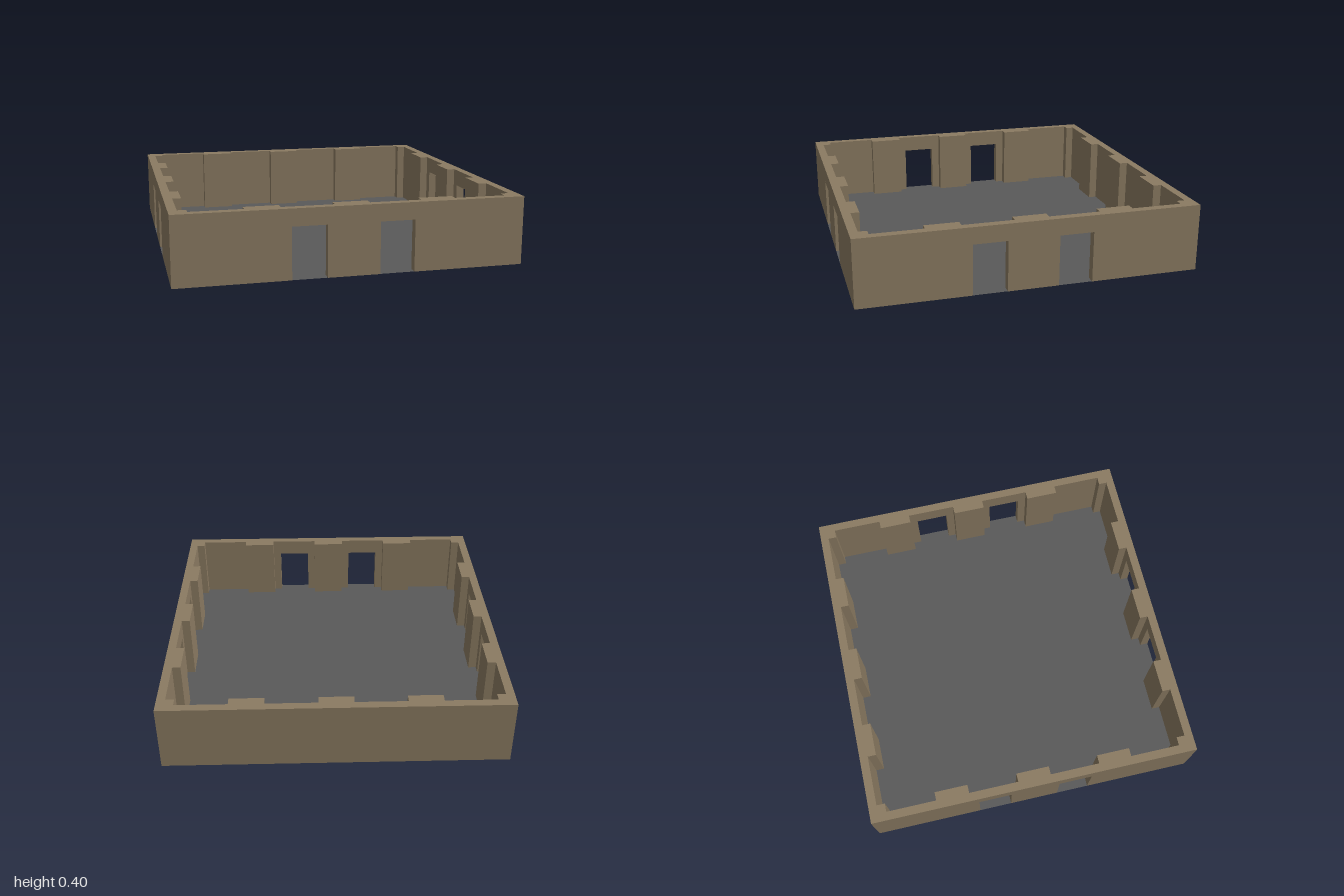
import * as THREE from 'three';

const HEIGHT = 0.4, THICK = 0.05, DOOR_TOP = 0.3;
const DOORS = [[-0.35, -0.15], [0.15, 0.35]];

const stone = new THREE.MeshStandardMaterial({ color: 0x8b7b62 });
stone.name = 'tan stone';
const paving = new THREE.MeshStandardMaterial({ color: 0x595959, side: THREE.DoubleSide });
paving.name = 'grey floor';

function box(name, w, h, d, x, y, z) {
  const mesh = new THREE.Mesh(new THREE.BoxGeometry(w, h, d), stone);
  mesh.name = name;
  mesh.position.set(x, y, z);
  return mesh;
}

// One side of the room, built facing +z: wall panel, doorways and piers
function createWall(name, halfLength, hasDoors) {
  const wall = new THREE.Group();
  wall.name = name;

  const outline = new THREE.Shape();
  outline.moveTo(-halfLength, 0);
  if (hasDoors) {
    for (const [a, b] of DOORS) {
      outline.lineTo(a, 0);
      outline.lineTo(a, DOOR_TOP);
      outline.lineTo(b, DOOR_TOP);
      outline.lineTo(b, 0);
    }
  }
  outline.lineTo(halfLength, 0);
  outline.lineTo(halfLength, HEIGHT);
  outline.lineTo(-halfLength, HEIGHT);
  outline.closePath();

  const panel = new THREE.Mesh(
    new THREE.ExtrudeGeometry(outline, { depth: THICK, bevelEnabled: false }), stone);
  panel.name = 'wallPanel';
  panel.position.z = 1 - THICK;
  wall.add(panel);

  // Shallow piers on the inner face
  for (const x of [-0.5, 0, 0.5]) {
    wall.add(box('pier', 0.2, HEIGHT, THICK, x, HEIGHT / 2, 1 - 1.5 * THICK));
  }
  return wall;
}

export function createModel() {
  const room = new THREE.Group();
  room.name = 'room';

  // Floor sheet, just above the wall bases
  const floor = new THREE.Mesh(new THREE.PlaneGeometry(2, 2), paving);
  floor.name = 'floor';
  floor.rotation.x = -Math.PI / 2;
  floor.position.y = 0.001;
  room.add(floor);

  // Three walls with doorways and a solid back wall
  const walls = [
    ['frontWall', 1, true, 0],
    ['leftWall', 1 - THICK, true, Math.PI / 2],
    ['backWall', 1, false, Math.PI],
    ['rightWall', 1 - THICK, true, -Math.PI / 2],
  ];
  for (const [name, halfLength, hasDoors, turn] of walls) {
    const wall = createWall(name, halfLength, hasDoors);
    wall.rotation.y = turn;
    room.add(wall);
  }

  // Small square posts in the inner corners
  const c = 1 - 1.5 * THICK;
  for (const sx of [-1, 1]) {
    for (const sz of [-1, 1]) {
      room.add(box('cornerPost', THICK, HEIGHT, THICK, sx * c, HEIGHT / 2, sz * c));
    }
  }
  return room;
}
